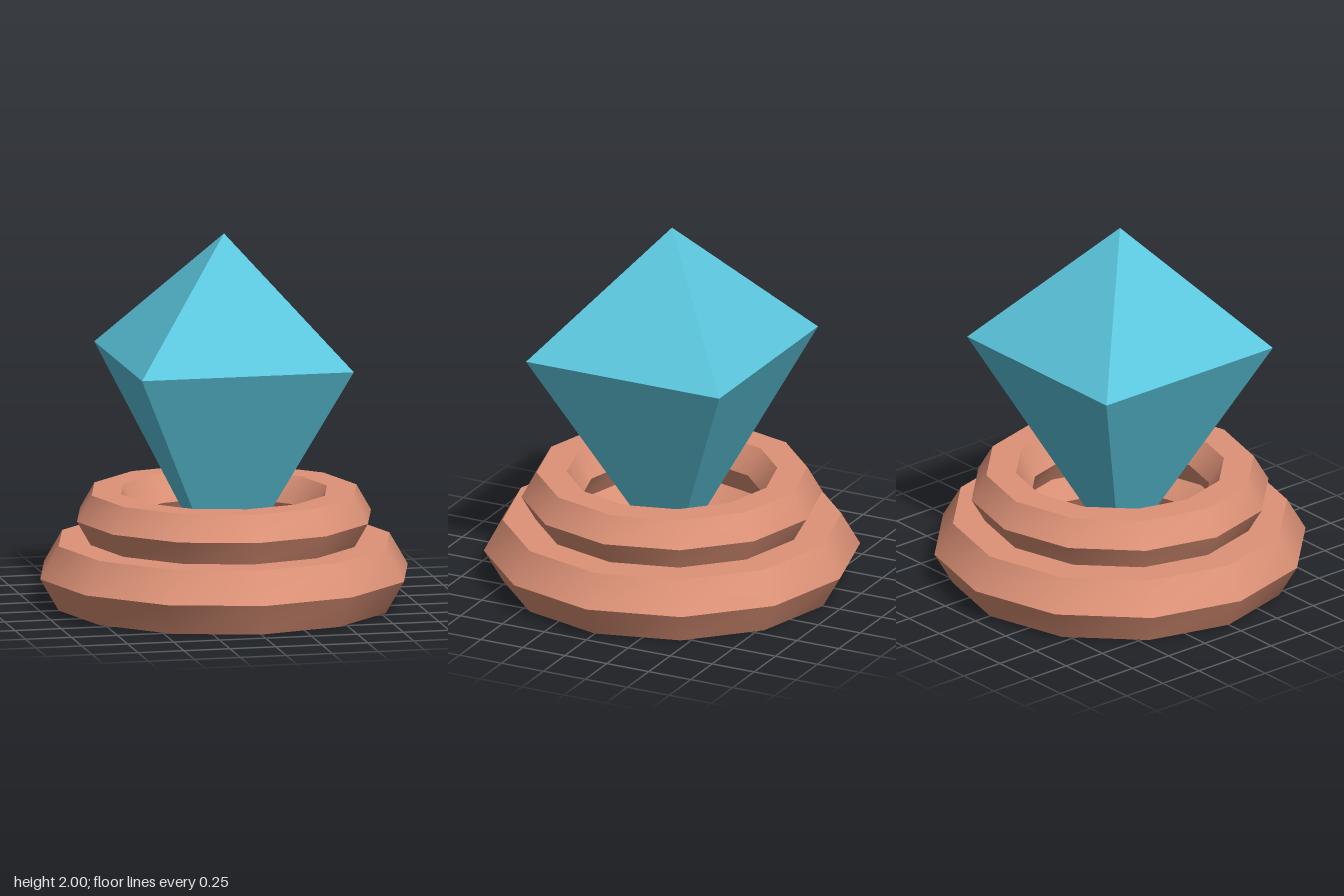
import * as THREE from 'three';
import { toCreasedNormals } from 'three/addons/utils/BufferGeometryUtils.js';

const copper = new THREE.MeshStandardMaterial({ color: 0xdd9277 });
const crystal = new THREE.MeshStandardMaterial({ color: 0x5bc6dd });

function addPart(group, name, geometry, material, y) {
  const mesh = new THREE.Mesh(toCreasedNormals(geometry, 0.8), material);
  mesh.name = name;
  mesh.position.y = y;
  group.add(mesh);
}

// Lying ring: hexagonal cross-section, twelve sides around
function ring(radius, tube) {
  return new THREE.TorusGeometry(radius, tube, 6, 12).rotateX(-Math.PI / 2);
}

// Open four-sided pyramid with its faces square to the axes
function pyramid(topHalf, bottomHalf, height) {
  return new THREE.CylinderGeometry(
    topHalf * Math.SQRT2, bottomHalf * Math.SQRT2, height, 4, 1, true
  ).rotateY(Math.PI / 4);
}

export function createModel() {
  const model = new THREE.Group();
  model.name = 'gemOnRings';

  // Stacked base rings
  addPart(model, 'lowerRing', ring(0.8, 0.2), copper, 0.173);
  addPart(model, 'upperRing', ring(0.64, 0.16), copper, 0.475);

  // Gem: short crown above a long point reaching down through the rings
  const girdleY = 1.333, half = 0.576, tipY = 0.08;
  addPart(model, 'gemCrown', pyramid(0, half, 2 - girdleY), crystal, (2 + girdleY) / 2);
  addPart(model, 'gemPoint', pyramid(half, 0, girdleY - tipY), crystal, (girdleY + tipY) / 2);

  return model;
}
